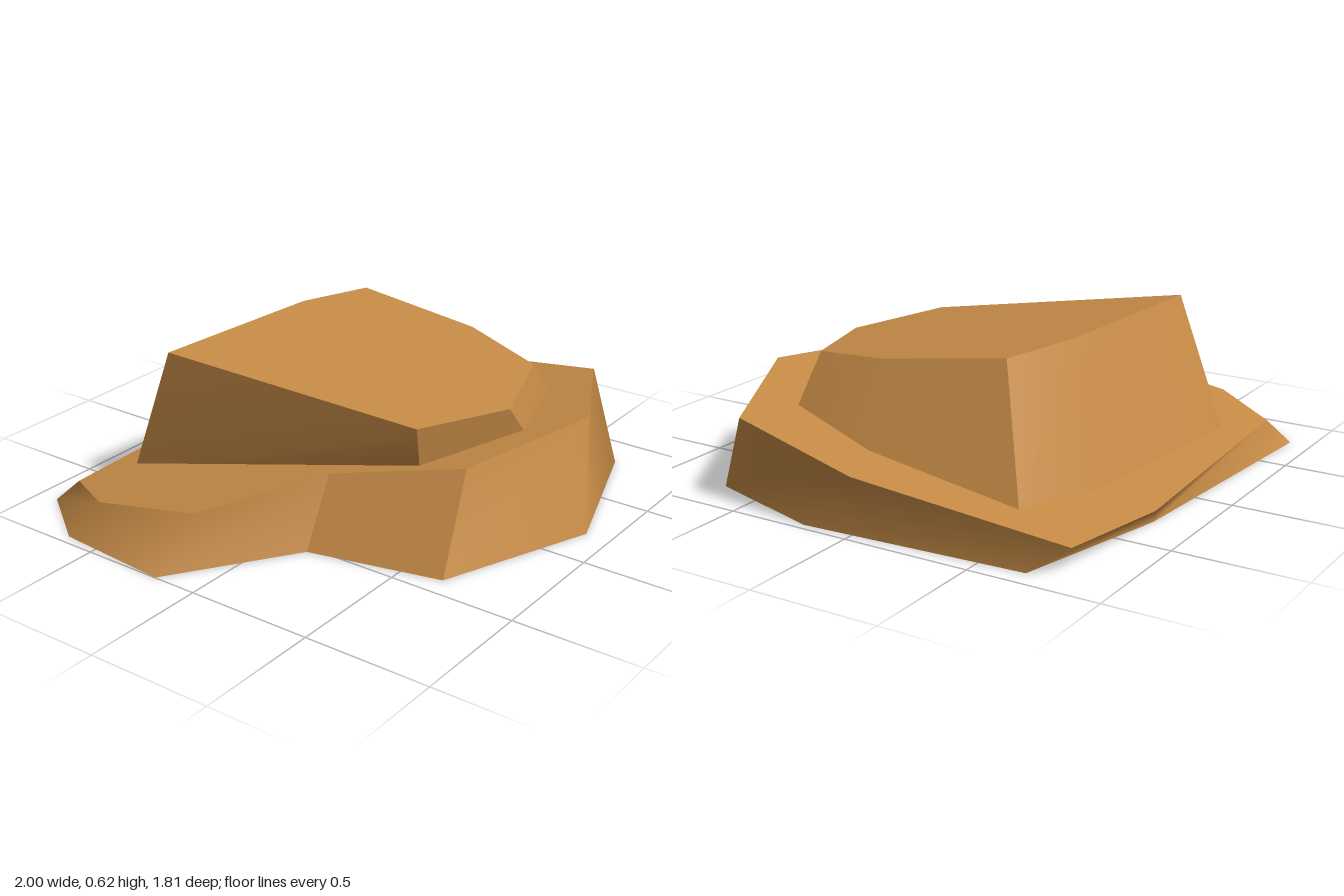
import * as THREE from 'three';

// Rings as [x, z], running from the left side round the front, right and back
const footRing = [[-0.41, 0.66], [0.2, 0.9], [0.82, 0.69], [0.97, 0.2], [0.92, -0.68],
  [0.3, -0.83], [-0.77, -0.91], [-0.96, -0.65], [-1, -0.18], [-0.53, 0.14]];
const rimRing = [[-0.21, 0.62], [0.38, 0.78], [0.93, 0.51], [1, -0.03], [0.85, -0.81],
  [0.38, -0.88], [-0.73, -0.82], [-0.88, -0.56], [-0.86, -0.11], [-0.39, 0.14]];
const blockFoot = [[-0.51, -0.72], [-0.23, 0.43], [0.2, 0.61], [0.67, 0.45], [0.78, 0.05],
  [0.75, -0.55], [0.39, -0.66]];
const blockTop = [[-0.5, -0.53], [-0.28, 0.45], [0.11, 0.6], [0.5, 0.47], [0.6, 0.12],
  [0.57, -0.39], [0.26, -0.48]];

// Height of each sloping plane at a given z
const ground = () => 0;
const ledgeHeight = (z) => 0.239 + 0.181 * z;
const capHeight = (z) => 0.547 - 0.137 * z;

// Smooth wall between two rings, along ring corners first..last
function wall(low, lowHeight, high, highHeight, first, last) {
  const pos = [];
  const index = [];
  for (let i = first; i <= last; i++) {
    const [ax, az] = low[i % low.length];
    const [bx, bz] = high[i % high.length];
    pos.push(ax, lowHeight(az), az, bx, highHeight(bz), bz);
    if (i < last) {
      const k = (i - first) * 2;
      index.push(k, k + 2, k + 3, k, k + 3, k + 1);
    }
  }
  const geo = new THREE.BufferGeometry();
  geo.setAttribute('position', new THREE.Float32BufferAttribute(pos, 3));
  geo.setIndex(index);
  geo.computeVertexNormals();
  return geo;
}

// Flat polygon tilted onto a sloping plane, with an optional hole
function slab(ring, height, hole) {
  const points = (r) => r.map(([x, z]) => new THREE.Vector2(x, -z));
  const shape = new THREE.Shape(points(ring));
  if (hole) shape.holes.push(new THREE.Path(points(hole)));
  const geo = new THREE.ShapeGeometry(shape).rotateX(-Math.PI / 2);
  const p = geo.attributes.position;
  for (let i = 0; i < p.count; i++) p.setY(i, height(p.getZ(i)));
  geo.computeVertexNormals();
  return geo;
}

export function createModel() {
  const model = new THREE.Group();
  model.name = 'rock';
  const stone = new THREE.MeshStandardMaterial({ color: 0xc68b46, side: THREE.DoubleSide });
  stone.name = 'sandstone';
  const add = (name, geo) => {
    const mesh = new THREE.Mesh(geo, stone);
    mesh.name = name;
    model.add(mesh);
  };

  // Lower tier: one long rounded wall and a sharp notch face, open underneath
  add('lowerWall', wall(footRing, ground, rimRing, ledgeHeight, 0, 9));
  add('lowerNotchWall', wall(footRing, ground, rimRing, ledgeHeight, 9, 10));
  add('ledge', slab(rimRing, ledgeHeight, blockFoot));

  // Upper block: walls split at its sharp corners
  const runs = { Left: [0, 1], FrontLeft: [1, 2], Front: [2, 3], Right: [3, 5], Back: [5, 7] };
  for (const [side, [first, last]] of Object.entries(runs)) {
    add('upperWall' + side, wall(blockFoot, ledgeHeight, blockTop, capHeight, first, last));
  }
  add('upperCap', slab(blockTop, capHeight));

  return model;
}
